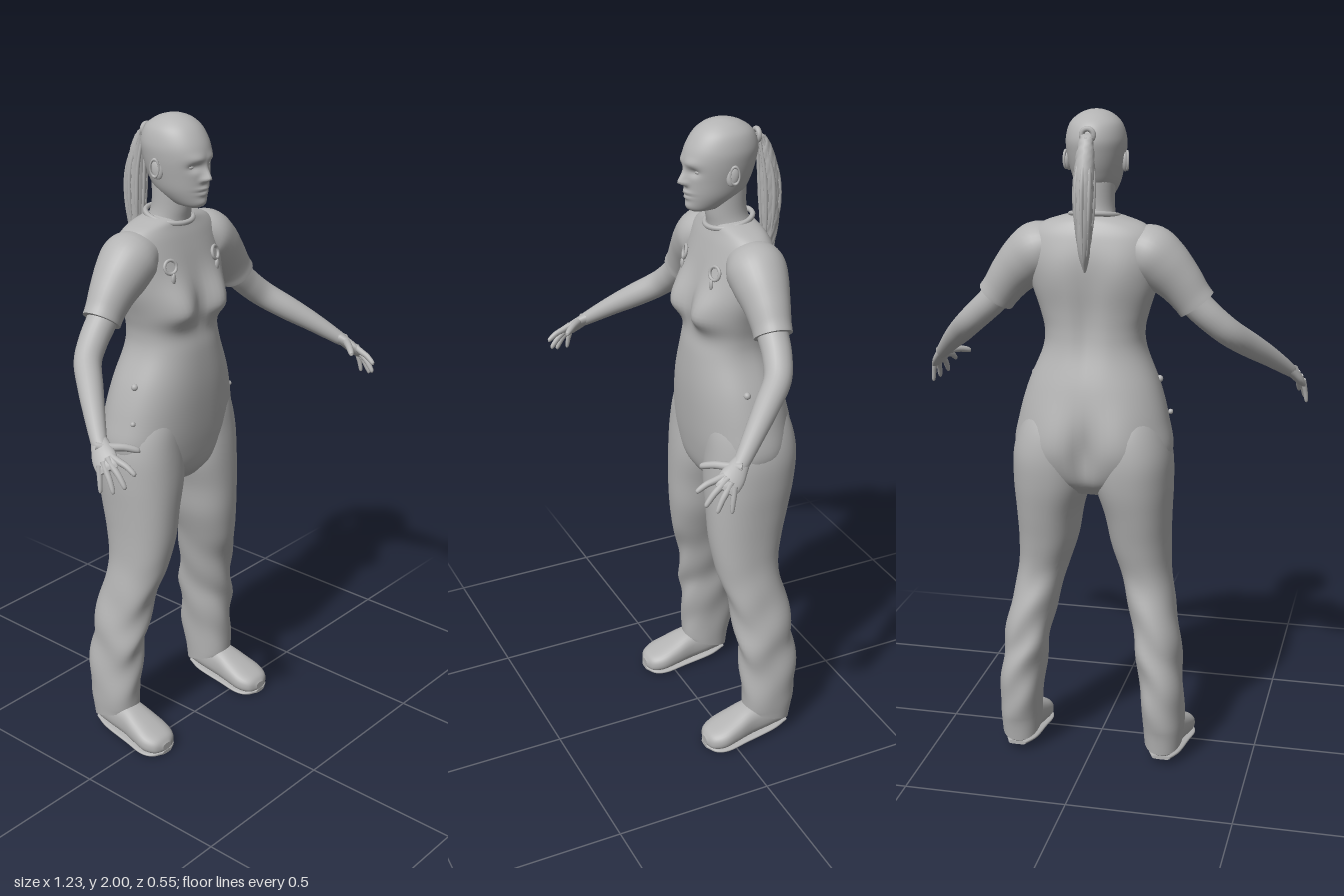
import * as THREE from 'three';

const V = (x, y, z) => new THREE.Vector3(x, y, z);
const grey = new THREE.MeshStandardMaterial({ color: 0xb4b4b4 });
grey.name = 'plain grey';

// Sweep ellipses along a smooth path. Sections are [x, y, z, sideRadius, refRadius].
// ref: direction of the second radius; axis: fixed ring normal; power: 2 = ellipse, more = boxier.
function loft(sections, { ref = V(0, 0, 1), axis = null, power = 2, seg = 32, steps = 5, move = null } = {}) {
  const path = new THREE.CatmullRomCurve3(sections.map(s => V(s[0], s[1], s[2])), false, 'catmullrom', 0.5);
  const size = new THREE.CatmullRomCurve3(sections.map(s => V(s[3], s[4], 0)), false, 'catmullrom', 0.5);
  const rows = (sections.length - 1) * steps, pos = [], idx = [];
  for (let i = 0; i <= rows; i++) {
    const p = path.getPoint(i / rows), r = size.getPoint(i / rows);
    const t = axis || path.getTangent(i / rows);
    const w = ref.clone().addScaledVector(t, -ref.dot(t)).normalize();
    const u = t.clone().cross(w);
    for (let j = 0; j < seg; j++) {
      const a = j / seg * Math.PI * 2, s = Math.sin(a), c = Math.cos(a);
      const round = v => Math.sign(v) * Math.abs(v) ** (2 / power);
      const q = p.clone().addScaledVector(u, round(s) * Math.max(r.x, 0.001)).addScaledVector(w, round(c) * Math.max(r.y, 0.001));
      if (move) move(q, c);
      pos.push(q.x, q.y, q.z);
      if (i < rows) {
        const A = i * seg + j, B = i * seg + (j + 1) % seg;
        idx.push(A, B, B + seg, A, B + seg, A + seg);
      }
    }
  }
  // end caps
  for (const row of [0, rows]) {
    const base = pos.length / 3, m = V(0, 0, 0);
    for (let j = 0; j < seg; j++) {
      const k = (row * seg + j) * 3;
      pos.push(pos[k], pos[k + 1], pos[k + 2]);
      m.add(V(pos[k], pos[k + 1], pos[k + 2]));
    }
    m.divideScalar(seg);
    pos.push(m.x, m.y, m.z);
    for (let j = 0; j < seg; j++) {
      const a = base + j, b = base + (j + 1) % seg;
      idx.push(base + seg, ...(row ? [a, b] : [b, a]));
    }
  }
  const g = new THREE.BufferGeometry();
  g.setAttribute('position', new THREE.Float32BufferAttribute(pos, 3));
  g.setIndex(idx);
  g.computeVertexNormals();
  return g;
}

// Soft swellings along z: [x, y, width, heightBelow, heightAbove, dz, face (1 front, -1 back)], mirrored in x.
const swell = list => (q, c) => {
  let dz = 0;
  for (const [x, y, sx, lo, hi, d, face] of list) {
    const k = Math.sqrt(Math.max(0, c * face));
    dz += k * d * Math.exp(-(((Math.abs(q.x) - x) / sx) ** 2) - (((q.y - y) / (q.y < y ? lo : hi)) ** 2));
  }
  q.z += dz;
};

// Upright section from y, half width and the back and front z.
const slab = (y, hw, back, front, x = 0) => [x, y, (back + front) / 2, hw, (front - back) / 2];

export function createModel() {
  const model = new THREE.Group();
  const up = V(0, 1, 0);
  const add = (name, geo, x = 0, y = 0, z = 0) => {
    const m = new THREE.Mesh(geo, grey);
    m.name = name;
    m.position.set(x, y, z);
    model.add(m);
    return m;
  };

  // Shirt and hips
  add('torso', loft([
    slab(0.87, 0.09, -0.19, -0.02), slab(0.92, 0.19, -0.235, 0.015), slab(1.0, 0.24, -0.25, 0.03),
    slab(1.1, 0.226, -0.25, 0.038), slab(1.2, 0.198, -0.238, 0.04), slab(1.3, 0.157, -0.215, 0.033),
    slab(1.36, 0.15, -0.208, 0.022), slab(1.42, 0.163, -0.208, 0.015), slab(1.5, 0.188, -0.212, 0.008),
    slab(1.58, 0.2, -0.212, -0.008), slab(1.64, 0.188, -0.2, -0.025), slab(1.675, 0.155, -0.185, -0.038),
    slab(1.695, 0.1, -0.17, -0.045), slab(1.705, 0.06, -0.15, -0.06),
  ], {
    axis: up, power: 2.3, seg: 64, steps: 6, move: swell([
      [0.085, 1.435, 0.065, 0.045, 0.085, 0.05, 1],
      [0.105, 1.02, 0.085, 0.1, 0.12, -0.025, -1],
      [0, 1.0, 0.025, 0.1, 0.08, 0.025, -1],
      [0, 1.4, 0.035, 0.16, 0.14, 0.016, -1],
      [0.1, 1.53, 0.06, 0.07, 0.07, -0.008, -1],
    ]),
  }));
  const collar = add('collar', new THREE.TorusGeometry(0.071, 0.008, 8, 40), 0, 1.698, -0.1);
  collar.rotation.x = Math.PI / 2 + 0.2;

  // Neck and head
  add('neck', loft([
    slab(1.64, 0.08, -0.18, -0.04), slab(1.69, 0.064, -0.165, -0.035),
    slab(1.73, 0.057, -0.152, -0.027), slab(1.8, 0.058, -0.15, -0.02),
  ], { axis: up }));
  add('head', loft([
    slab(1.737, 0.018, -0.02, 0.018), slab(1.748, 0.04, -0.085, 0.031), slab(1.785, 0.064, -0.14, 0.037),
    slab(1.83, 0.077, -0.165, 0.04), slab(1.88, 0.086, -0.18, 0.044), slab(1.92, 0.087, -0.184, 0.036),
    slab(1.96, 0.075, -0.168, 0.012), slab(1.985, 0.05, -0.135, -0.018), slab(1.997, 0.022, -0.1, -0.05), slab(2.0, 0.002, -0.077, -0.073),
  ], {
    axis: up, seg: 96, steps: 9, move: swell([
      [0, 1.826, 0.012, 0.008, 0.026, 0.024, 1],   // nose
      [0.012, 1.823, 0.008, 0.007, 0.009, 0.007, 1], // nostrils
      [0.034, 1.861, 0.018, 0.013, 0.01, -0.012, 1], // eye sockets
      [0.03, 1.885, 0.026, 0.009, 0.014, 0.005, 1], // brow
      [0, 1.795, 0.024, 0.006, 0.006, 0.007, 1],   // upper lip
      [0, 1.781, 0.02, 0.006, 0.006, 0.006, 1],    // lower lip
      [0, 1.788, 0.026, 0.003, 0.003, -0.005, 1],  // mouth line
      [0, 1.754, 0.024, 0.012, 0.012, 0.005, 1],   // chin
    ]),
  }));

  // Ponytail: a tapered core with loose strands around it
  add('hairTie', new THREE.TorusGeometry(0.017, 0.008, 8, 20), 0, 1.935, -0.188);
  add('ponytail', loft([
    [0, 1.55, -0.225, 0.002, 0.003], [0, 1.61, -0.235, 0.016, 0.02], [0, 1.7, -0.236, 0.026, 0.031],
    [0, 1.8, -0.231, 0.03, 0.033], [0, 1.88, -0.218, 0.026, 0.024], [0, 1.93, -0.2, 0.017, 0.014], [0, 1.94, -0.165, 0.014, 0.012],
  ], { axis: up, seg: 20, move: q => { q.x += 0.002 * Math.sin(q.y * 90 + q.z * 300); } }));
  for (let i = 0; i < 8; i++) {
    const a = i / 8 * Math.PI * 2, s = Math.sin(a), c = Math.cos(a), end = 1.58 + 0.02 * (i % 4);
    add('hairStrand', loft([
      [s * 0.016, end, -0.232 + c * 0.02, 0.001, 0.001], [s * 0.026, 1.72, -0.235 + c * 0.03, 0.006, 0.007],
      [s * 0.027, 1.82, -0.228 + c * 0.03, 0.006, 0.006], [s * 0.014, 1.93, -0.2 + c * 0.012, 0.004, 0.004],
    ], { axis: up, seg: 8 }));
  }

  for (const side of [1, -1]) {
    const mx = list => list.map(([x, ...rest]) => [x * side, ...rest]);

    // Face details
    add('eye', new THREE.SphereGeometry(0.012, 16, 12), side * 0.034, 1.861, 0.014).scale.set(1.1, 0.6, 0.9);
    const ear = add('ear', new THREE.SphereGeometry(0.03, 20, 14), side * 0.083, 1.85, -0.07);
    ear.scale.set(0.32, 1, 0.6);
    ear.rotation.set(-0.2, side * -0.3, 0);
    const rim = add('earRim', new THREE.TorusGeometry(0.021, 0.004, 8, 24), side * 0.091, 1.854, -0.073);
    rim.rotation.y = Math.PI / 2 - side * 0.3;
    rim.scale.set(0.65, 1.2, 1);

    // Trousers
    add('trouserLeg', loft(mx([
      slab(0.07, 0.06, -0.212, -0.06, 0.23), slab(0.13, 0.064, -0.228, -0.055, 0.23), slab(0.22, 0.066, -0.238, -0.052, 0.224),
      slab(0.31, 0.068, -0.233, -0.045, 0.216), slab(0.4, 0.07, -0.226, -0.036, 0.205), slab(0.5, 0.072, -0.212, -0.02, 0.186),
      slab(0.6, 0.076, -0.195, 0.008, 0.164), slab(0.7, 0.09, -0.212, 0.024, 0.146), slab(0.8, 0.101, -0.235, 0.029, 0.138),
      slab(0.9, 0.118, -0.256, 0.03, 0.126), slab(1.0, 0.118, -0.262, 0.025, 0.122), slab(1.1, 0.1, -0.24, 0.015, 0.11), slab(1.2, 0.07, -0.18, -0.02, 0.09),
    ]), {
      axis: up, power: 2.2, seg: 48, move: (q, c) => {
        // cloth folds below the knee and at the hem
        const k = Math.max(0, 1 - Math.abs(q.y - 0.35) / 0.3);
        q.z += k * 0.006 * Math.sin(q.y * 42 + Math.abs(q.x) * 50);
        q.x += side * k * 0.004 * Math.sin(q.y * 30 + q.z * 30);
        if (q.y < 0.1) q.y += 0.03 * c * (0.1 - q.y) / 0.03;
      },
    }));

    // Shoes
    add('shoe', loft(mx([
      [0.232, 0.06, -0.208, 0.012, 0.015], [0.232, 0.062, -0.195, 0.036, 0.032], [0.232, 0.069, -0.14, 0.048, 0.048],
      [0.233, 0.064, -0.07, 0.051, 0.053], [0.235, 0.05, -0.01, 0.06, 0.044], [0.237, 0.037, 0.04, 0.063, 0.036],
      [0.237, 0.03, 0.075, 0.047, 0.027], [0.237, 0.027, 0.09, 0.018, 0.012],
    ]), { ref: up, axis: V(0, 0, 1), power: 2.5, move: q => { q.y = Math.max(q.y, q.z < -0.02 ? 0.002 + (-0.02 - q.z) * 0.13 : 0.002); } }));
    add('shoeSole', loft(mx([
      [0.232, 0.026, -0.2, 0.028, 0.006], [0.232, 0.022, -0.14, 0.05, 0.007], [0.235, 0.012, -0.04, 0.058, 0.007],
      [0.237, 0.007, 0.03, 0.065, 0.007], [0.237, 0.007, 0.07, 0.053, 0.007], [0.237, 0.008, 0.09, 0.02, 0.006],
    ]), { ref: up, axis: V(0, 0, 1), power: 3 }));

    // Sleeve and bare arm
    add('sleeve', loft(mx([
      [0.11, 1.615, -0.108, 0.06, 0.07], [0.16, 1.595, -0.106, 0.085, 0.088], [0.205, 1.56, -0.102, 0.082, 0.082],
      [0.25, 1.515, -0.098, 0.07, 0.068], [0.285, 1.47, -0.094, 0.061, 0.058], [0.304, 1.445, -0.091, 0.06, 0.056],
    ])));
    add('arm', loft(mx([
      [0.25, 1.51, -0.097, 0.045, 0.046], [0.304, 1.445, -0.09, 0.045, 0.045], [0.35, 1.4, -0.08, 0.043, 0.043],
      [0.4, 1.355, -0.055, 0.041, 0.04], [0.45, 1.31, 0.003, 0.038, 0.037], [0.5, 1.265, 0.065, 0.031, 0.031],
      [0.55, 1.215, 0.13, 0.022, 0.024], [0.56, 1.203, 0.147, 0.018, 0.022],
    ]), { seg: 24 }));

    // Hand: flat palm, four fingers and a thumb
    const across = V(-0.04 * side, 0.03, 0.05).normalize();
    add('palm', loft(mx([
      [0.545, 1.22, 0.122, 0.018, 0.021], [0.56, 1.203, 0.148, 0.017, 0.029], [0.573, 1.184, 0.172, 0.016, 0.036],
      [0.583, 1.166, 0.194, 0.012, 0.035], [0.588, 1.158, 0.204, 0.005, 0.028],
    ]), { ref: across, seg: 20 }));
    const fingers = [
      ['indexFinger', [0.563, 1.182, 0.213], [0.556, 1.153, 0.273], 0.009],
      ['middleFinger', [0.577, 1.17, 0.205], [0.578, 1.115, 0.256], 0.009],
      ['ringFinger', [0.59, 1.159, 0.194], [0.598, 1.1, 0.23], 0.0085],
      ['littleFinger', [0.6, 1.15, 0.18], [0.608, 1.094, 0.19], 0.0075],
      ['thumb', [0.553, 1.205, 0.165], [0.492, 1.193, 0.232], 0.011],
    ];
    for (const [name, a, b, r] of fingers) {
      const A = V(...a), B = V(...b);
      const at = (t, k, lift) => {
        const p = A.clone().lerp(B, t);
        return [p.x * side, p.y + lift, p.z, r * k, r * k];
      };
      add(name, loft([at(-0.35, 1.1, 0), at(0.1, 1.1, 0.002), at(0.5, 1, 0.006), at(0.85, 0.85, 0.003), at(0.97, 0.55, 0), at(1, 0.1, 0)],
        { ref: across, seg: 12, steps: 3 }));
    }

    // Small trim on the chest, shoulder and hip
    const trim = add('chestTrim', new THREE.TorusGeometry(0.02, 0.005, 8, 20), side * 0.1, 1.575, -0.006);
    trim.rotation.set(-0.25, side * 0.3, 0);
    const tab = add('trimTab', new THREE.SphereGeometry(0.012, 12, 8), side * 0.097, 1.54, 0.004);
    tab.scale.set(0.7, 1.4, 0.5);
    add('hipButton', new THREE.SphereGeometry(0.011, 14, 10), side * 0.192, 1.21, -0.07);
    add('hipButton', new THREE.SphereGeometry(0.008, 14, 10), side * 0.223, 1.105, -0.05);
  }
  return model;
}
